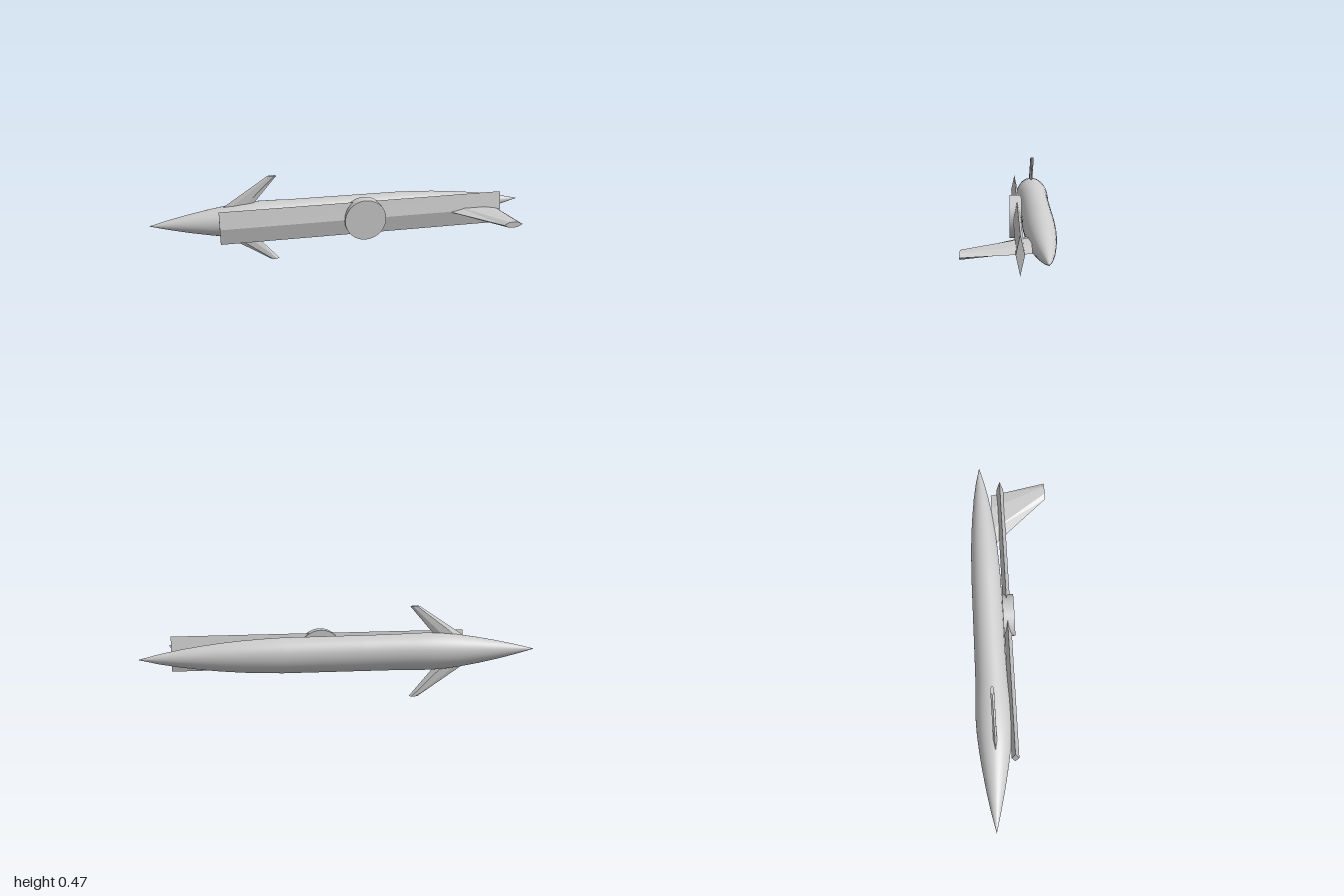
import * as THREE from 'three';
import { mergeVertices } from 'three/addons/utils/BufferGeometryUtils.js';

const AXIS_Y = 0.2335;
const grey = new THREE.MeshStandardMaterial({ color: 0xcccccc });
grey.name = 'light grey';

// Body of revolution along x, slightly narrowed sideways at each station
function fuselageGeometry() {
  // x, half height, half width, centre z
  const stations = [
    [-1, 0.0005, 0.0005, -0.139], [-0.9, 0.026, 0.025, -0.137], [-0.8, 0.048, 0.046, -0.134],
    [-0.7, 0.067, 0.064, -0.131], [-0.6, 0.083, 0.079, -0.128], [-0.52, 0.092, 0.087, -0.127],
    [-0.44, 0.095, 0.09, -0.127], [-0.36, 0.094, 0.088, -0.127], [-0.28, 0.0915, 0.082, -0.128],
    [-0.1, 0.0905, 0.079, -0.13], [0.3, 0.089, 0.078, -0.13], [0.4, 0.085, 0.075, -0.131],
    [0.5, 0.079, 0.071, -0.132], [0.6, 0.07, 0.064, -0.133], [0.7, 0.058, 0.054, -0.134],
    [0.8, 0.043, 0.041, -0.136], [0.9, 0.024, 0.023, -0.138], [0.995, 0.0005, 0.0005, -0.139],
  ];
  const points = stations.map(([x, r]) => new THREE.Vector2(r, x));
  const geo = new THREE.LatheGeometry(points, 48).rotateZ(-Math.PI / 2);
  const pos = geo.attributes.position;
  for (let i = 0; i < pos.count; i++) {
    const [, ry, rz, cz] = stations[i % stations.length];
    pos.setZ(i, pos.getZ(i) * rz / ry + cz);
  }
  geo.deleteAttribute('uv');
  geo.deleteAttribute('normal');
  const smooth = mergeVertices(geo, 1e-5);
  smooth.computeVertexNormals();
  return smooth;
}

// Straight lofted blade rising along y, with a bevelled six-sided section.
// Each end is [height, leading x, trailing x]; bevel is a fraction of the chord.
function bladeGeometry(root, tip, thickness, bevel) {
  const t = thickness / 2;
  const ring = ([h, a, b]) => {
    const c = b - a;
    return [[a, 0], [a + bevel * c, t], [b - bevel * c, t], [b, 0], [b - bevel * c, -t], [a + bevel * c, -t]]
      .map(([x, z]) => [x, h, z]);
  };
  const lower = ring(root), upper = ring(tip), out = [];
  const tri = (p, q, r) => out.push(...p, ...q, ...r);
  for (let i = 0; i < 6; i++) {
    const j = (i + 1) % 6;
    tri(lower[i], lower[j], upper[j]);
    tri(lower[i], upper[j], upper[i]);
    if (i > 0 && i < 5) {
      tri(upper[0], upper[i], upper[j]);
      tri(lower[0], lower[j], lower[i]);
    }
  }
  const geo = new THREE.BufferGeometry();
  geo.setAttribute('position', new THREE.Float32BufferAttribute(out, 3));
  geo.computeVertexNormals();
  return geo;
}

export function createModel() {
  const model = new THREE.Group();
  model.name = 'missile';
  const add = (name, geo, x, y, z) => {
    const mesh = new THREE.Mesh(geo, grey);
    mesh.name = name;
    mesh.position.set(x, y, z);
    model.add(mesh);
    return mesh;
  };

  add('fuselage', fuselageGeometry(), 0, AXIS_Y, 0);

  // Folded wing: long bar with a diamond section
  const diamond = new THREE.Shape([[0, 0.089], [-0.019, 0], [0, -0.089], [0.019, 0]]
    .map(([x, y]) => new THREE.Vector2(x, y)));
  const wing = new THREE.ExtrudeGeometry(diamond, { depth: 1.498, bevelEnabled: false }).rotateY(Math.PI / 2);
  add('foldedWing', wing, -0.65, 0.2355, -0.03);

  // Round pivot holding the wing to the body
  const pivot = new THREE.CylinderGeometry(0.109, 0.109, 0.058, 48).rotateX(Math.PI / 2);
  add('wingPivot', pivot, 0.1, AXIS_Y, -0.0225);

  // Swept foreplanes above and below the nose, rooted inside the body
  for (const side of [1, -1]) {
    const blade = bladeGeometry([0.08, -0.622, -0.475], [0.2335, -0.391, -0.343], 0.018, 0.28);
    const plane = add(side > 0 ? 'upperForeplane' : 'lowerForeplane', blade, 0, AXIS_Y, -0.124);
    if (side < 0) plane.rotation.x = Math.PI;
  }

  // Tail fin reaching forwards from the wing's end
  const fin = bladeGeometry([-0.082, 0.507, 0.817], [0.217, 0.778, 0.878], 0.03, 0.28).rotateX(Math.PI / 2);
  add('tailFin', fin, 0, AXIS_Y, 0);

  return model;
}
